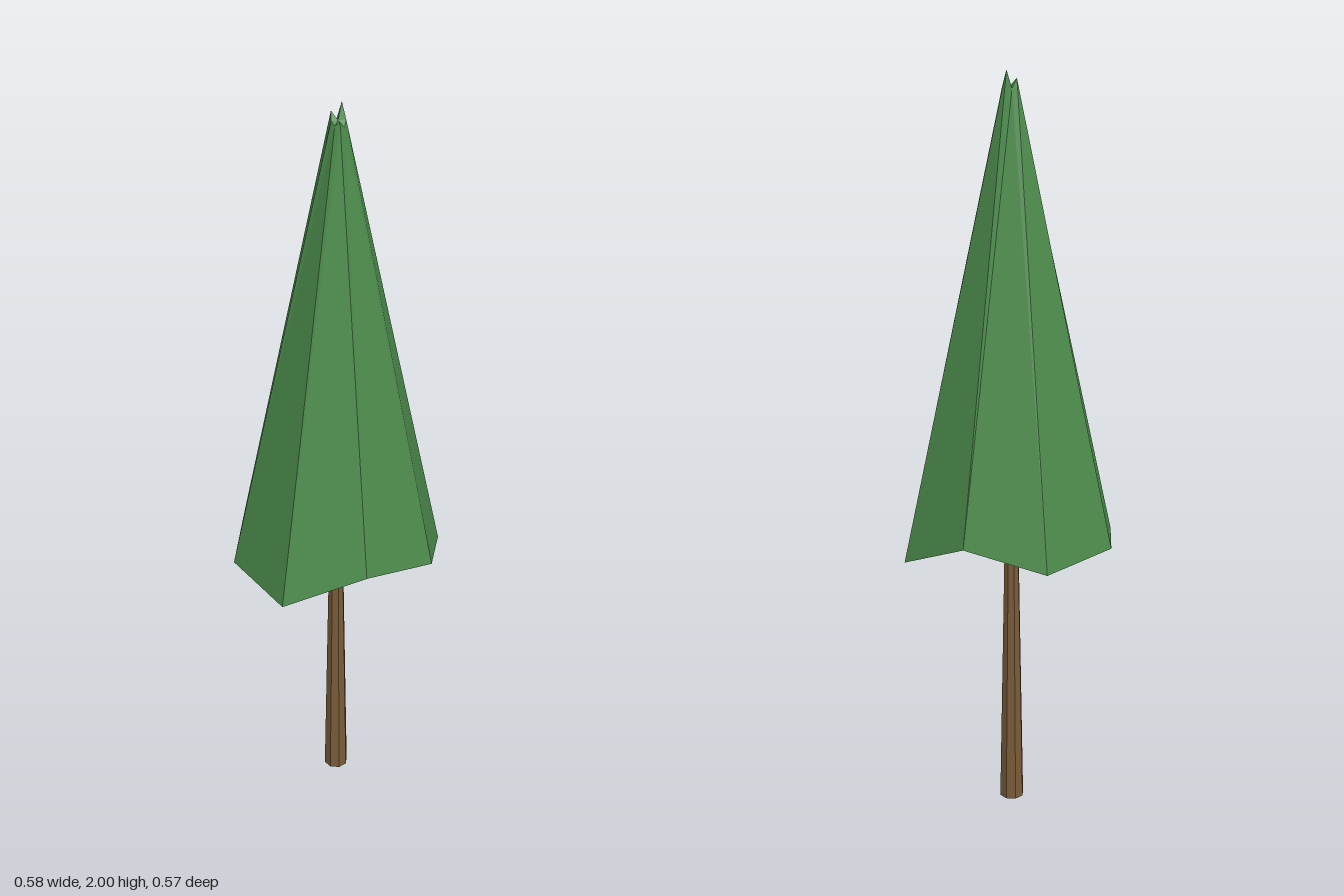
import * as THREE from 'three';

const SIDES = 8;
const AXIS = { x: 0.005, z: -0.018 };

// Radius and height of each rim corner, counted from the front (+z) towards +x
const SKIRT = [[0.301, 0.753], [0.263, 0.833], [0.284, 0.8], [0.294, 0.742],
  [0.267, 0.833], [0.294, 0.78], [0.294, 0.796], [0.29, 0.77]];
const TIP = [[0.016, 1.95], [0.016, 1.96], [0.017, 1.945], [0.02, 1.96],
  [0.019, 2.0], [0.016, 1.955], [0.019, 1.98], [0.017, 1.96]];

function material(color) {
  return new THREE.MeshStandardMaterial({ color, flatShading: true });
}

// Tapered eight-sided crown with uneven rims
function crownGeometry() {
  const geometry = new THREE.CylinderGeometry(0.5, 1, 2, SIDES);
  const p = geometry.attributes.position;
  for (let i = 0; i < p.count; i++) {
    const x = p.getX(i), z = p.getZ(i), top = p.getY(i) > 0;
    if (Math.hypot(x, z) < 0.01) {
      // cap centres
      p.setXYZ(i, 0, top ? 1.96 : 0.79, 0);
      continue;
    }
    const angle = Math.atan2(x, z);
    const k = (Math.round(angle / (Math.PI * 2 / SIDES)) + SIDES) % SIDES;
    const [r, y] = (top ? TIP : SKIRT)[k];
    p.setXYZ(i, r * Math.sin(angle), y, r * Math.cos(angle));
  }
  geometry.computeVertexNormals();
  return geometry;
}

export function createModel() {
  const tree = new THREE.Group();
  tree.name = 'tree';

  // Slim tapered trunk, reaching just inside the crown
  const trunk = new THREE.Mesh(
    new THREE.CylinderGeometry(0.019, 0.034, 0.8, SIDES), material(0x7a5c3a));
  trunk.name = 'trunk';
  trunk.position.set(AXIS.x - 0.002, 0.4, AXIS.z + 0.003);

  // Foliage
  const crown = new THREE.Mesh(crownGeometry(), material(0x4c8a4c));
  crown.name = 'crown';
  crown.position.set(AXIS.x, 0, AXIS.z);

  tree.add(trunk, crown);
  return tree;
}
